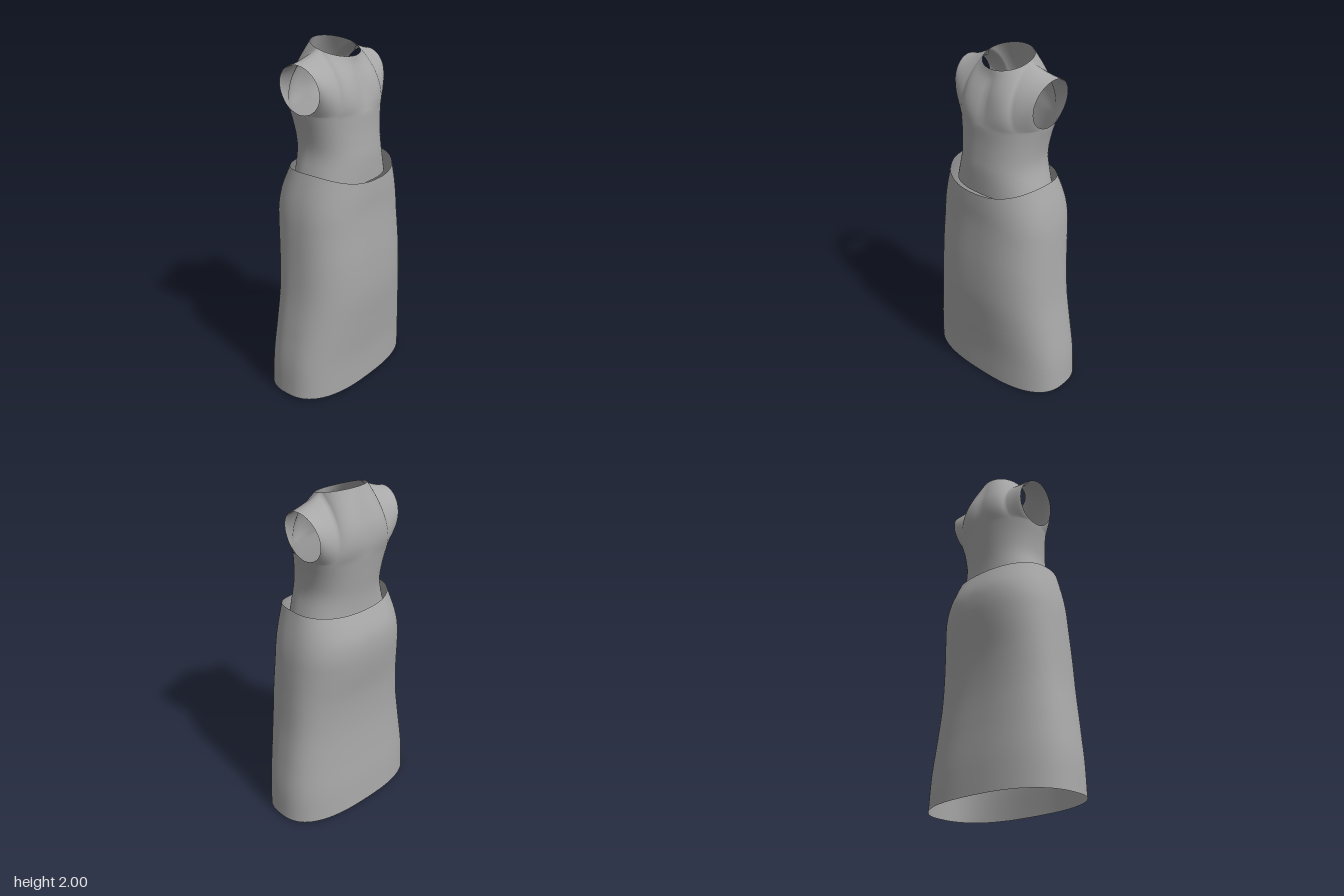
import * as THREE from 'three';
import { mergeGeometries, mergeVertices } from 'three/addons/utils/BufferGeometryUtils.js';

// Smooth interpolation of rows [y, a, b, ...] at height y
function sample(rows, y) {
  const last = rows.length - 1;
  let i = 0;
  while (i < last - 1 && y > rows[i + 1][0]) i++;
  const p = rows[i], q = rows[i + 1], h = q[0] - p[0];
  const t = THREE.MathUtils.clamp((y - p[0]) / h, 0, 1);
  const slope = (k, c) => {
    const a = rows[Math.max(k - 1, 0)], b = rows[Math.min(k + 1, last)];
    return (b[c] - a[c]) / (b[0] - a[0]);
  };
  return p.slice(1).map((_, j) => {
    const c = j + 1, t2 = t * t, t3 = t2 * t;
    return p[c] * (2 * t3 - 3 * t2 + 1) + q[c] * (3 * t2 - 2 * t3)
      + h * (slope(i, c) * (t3 - 2 * t2 + t) + slope(i + 1, c) * (t3 - t2));
  });
}

// Grid surface from f(u, v) -> Vector3, optionally mirrored in x
function patch(f, nu, nv, mirror, flip) {
  const pos = [], index = [];
  for (let j = 0; j <= nv; j++) {
    for (let i = 0; i <= nu; i++) {
      const p = f(i / nu, j / nv);
      pos.push(mirror ? -p.x : p.x, p.y, p.z);
    }
  }
  for (let j = 0; j < nv; j++) {
    for (let i = 0; i < nu; i++) {
      const a = j * (nu + 1) + i, b = a + 1, c = a + nu + 1, d = c + 1;
      if (mirror !== flip) index.push(a, b, d, a, d, c);
      else index.push(a, d, b, a, c, d);
    }
  }
  const g = new THREE.BufferGeometry();
  g.setAttribute('position', new THREE.Float32BufferAttribute(pos, 3));
  g.setIndex(index);
  return g;
}

// Four quarters (front/back, left/right) welded into one smooth cloth surface
function cloth(name, surfaces, material) {
  const parts = [];
  for (const { make, nu, nv } of surfaces) {
    for (const front of [true, false]) {
      for (const mirror of [false, true]) parts.push(patch(make(front), nu, nv, mirror, !front));
    }
  }
  const g = mergeVertices(mergeGeometries(parts), 1e-4);
  g.computeVertexNormals();
  const mesh = new THREE.Mesh(g, material);
  mesh.name = name;
  return mesh;
}

// Quarter of a rounded section, u = 0 at the side, u = 1 at the centre line
function quarter(u, y, halfWidth, sideZ, centreZ, power) {
  const a = u * Math.PI / 2, e = 2 / power;
  const c = u === 1 ? 0 : Math.cos(a) ** e;
  return new THREE.Vector3(halfWidth * c, y, sideZ + (centreZ - sideZ) * Math.sin(a) ** e);
}

// Skirt: y, half width, front z, back z, roundness
const SKIRT = [
  [0, 0.475, 0.24, -0.272, 2.6], [0.2, 0.464, 0.246, -0.262, 2.6], [0.4, 0.436, 0.264, -0.246, 2.6],
  [0.6, 0.407, 0.28, -0.236, 2.6], [0.8, 0.39, 0.279, -0.242, 2.6], [1.0, 0.376, 0.269, -0.268, 2.5],
  [1.1, 0.366, 0.265, -0.275, 2.5], [1.2, 0.347, 0.266, -0.265, 2.4], [1.34, 0.31, 0.262, -0.208, 2.3],
];
const skirtQuarter = (front) => (u, v) => {
  const s = Math.sin(u * Math.PI / 2) ** 2;
  const hem = front ? 0.01 * (1 - s) : 0.01 + 0.013 * s;
  const rim = 1.337 - (front ? 0.062 : 0.014) * s;
  const y = hem + (rim - hem) * v;
  const [w, zf, zb, n] = sample(SKIRT, y);
  return quarter(u, y, w, 0, front ? zf : zb, n);
};

// Bodice up to the armpit: y, half width, side z, front z, back z
const ARMPIT = 1.635;
const WAIST = [
  [1.25, 0.285, 0, 0.214, -0.2], [1.32, 0.264, 0, 0.215, -0.198], [1.4, 0.242, 0, 0.214, -0.2],
  [1.46, 0.237, 0, 0.208, -0.206], [1.55, 0.247, -0.015, 0.2, -0.218], [ARMPIT, 0.265, -0.04, 0.197, -0.23],
];
const waistRing = (front, u, y) => {
  const [w, zs, zf, zb] = sample(WAIST, y);
  return quarter(u, y, w, zs, front ? zf : zb, 2.35);
};
const waistQuarter = (front) => (u, v) => waistRing(front, u, 1.25 + (ARMPIT - 1.25) * v);

// Centre lines of chest and back: y, z
const CHEST = [[ARMPIT, 0.197], [1.7, 0.18], [1.8, 0.145], [1.88, 0.113], [1.925, 0.105]];
const BACK = [[ARMPIT, -0.23], [1.72, -0.236], [1.8, -0.226], [1.88, -0.2], [2.0, -0.155]];

// Upper bodice: surface spanned by armpit ring, armhole, centre line, shoulder and neckline
const chestQuarter = (front) => {
  const sign = front ? 1 : -1;
  const bottom = (u) => waistRing(front, u, ARMPIT);
  const armhole = (v) => {
    const a = v * Math.PI, h = (1 - Math.cos(a)) / 2;
    return new THREE.Vector3(0.265 + 0.038 * h - 0.008 * Math.sin(a), ARMPIT + 0.272 * h,
      -0.04 + sign * 0.137 * Math.sin(a));
  };
  const centre = (v) => {
    const y = ARMPIT + ((front ? 1.925 : 2.0) - ARMPIT) * v;
    return new THREE.Vector3(0, y, sample(front ? CHEST : BACK, y)[0]);
  };
  const top = (u) => {
    if (u <= 0.5) {
      const t = u * 2;
      return new THREE.Vector3(0.303 - 0.161 * t, 1.907 + 0.025 * t + 0.035 * t * t, -0.04 + 0.015 * t);
    }
    const a = (u - 0.5) * Math.PI, s = Math.sin(a);
    return new THREE.Vector3(u === 1 ? 0 : 0.142 * Math.cos(a),
      1.967 + (front ? -0.042 : 0.033) * s, -0.025 + sign * 0.13 * s);
  };
  const mix = (a, b, t) => a.clone().lerp(b, t);
  return (u, v) => {
    const p = mix(armhole(v), centre(v), u).add(mix(bottom(u), top(u), v))
      .sub(mix(mix(armhole(0), centre(0), u), mix(armhole(1), centre(1), u), v));
    // gentle fullness over the bust
    if (front) p.z += 0.012 * Math.sin(Math.PI * u) * Math.sin(Math.PI * v) * (1 - v);
    return p;
  };
};

export function createModel() {
  const grey = new THREE.MeshStandardMaterial({ color: 0xa8a8a8, side: THREE.DoubleSide });
  grey.name = 'grey cloth';
  const dress = new THREE.Group();
  dress.name = 'dress';
  dress.add(
    cloth('skirt', [{ make: skirtQuarter, nu: 20, nv: 40 }], grey),
    cloth('bodice', [
      { make: waistQuarter, nu: 20, nv: 16 },
      { make: chestQuarter, nu: 20, nv: 20 },
    ], grey),
  );
  return dress;
}
